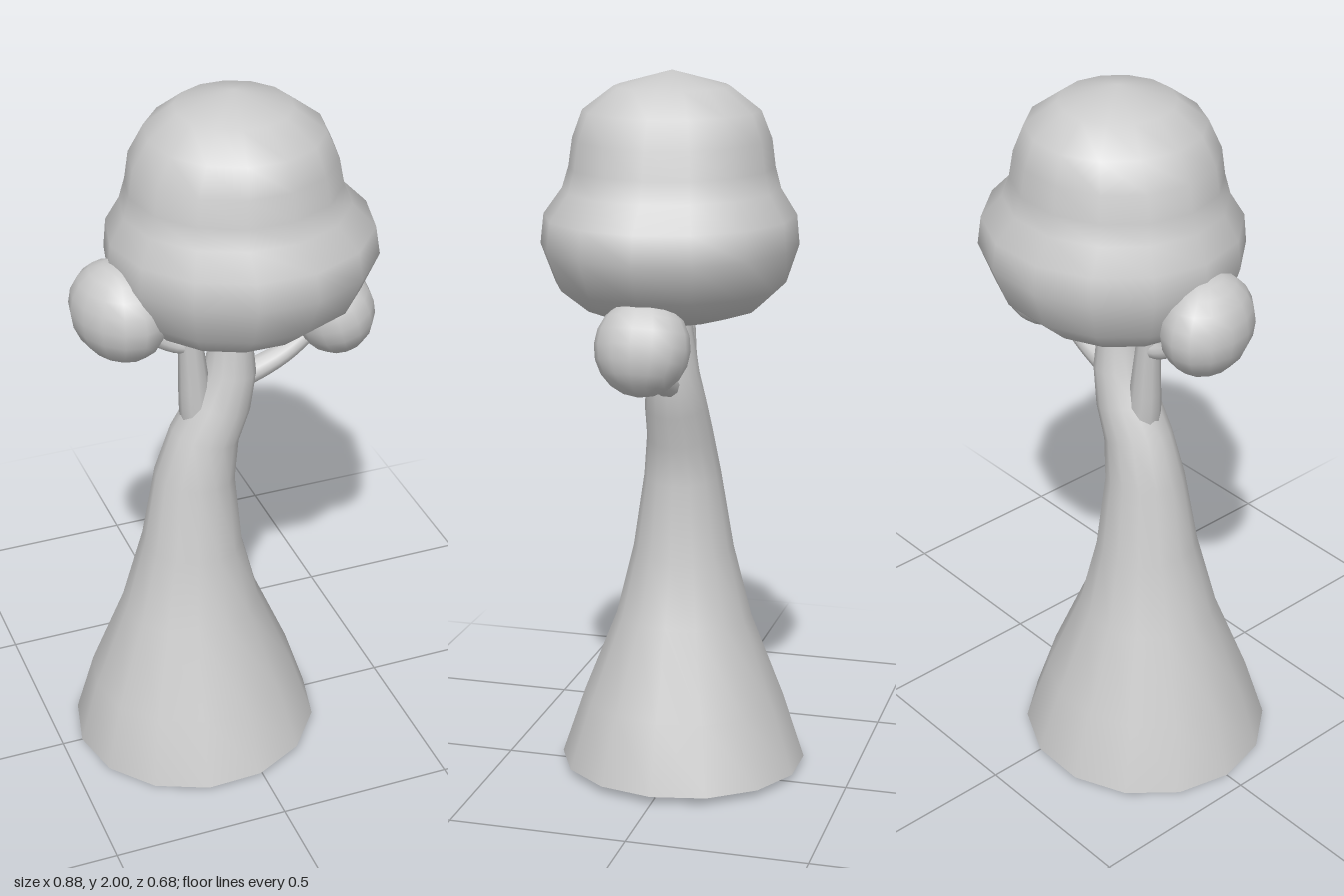
import * as THREE from 'three';

const SIDES = 14;

// Skin over elliptical rings listed bottom to top: [x, y, rx, rz, tilt]; rx = 0 closes to a point
function loft(rings, material, name) {
  const pos = [], index = [];
  for (const [x, y, rx, rz, tilt = 0] of rings) {
    for (let j = 0; j < SIDES; j++) {
      const a = (j / SIDES) * Math.PI * 2;
      const u = rx * Math.cos(a);
      pos.push(x + u * Math.cos(tilt), y + u * Math.sin(tilt), rz * Math.sin(a));
    }
  }
  const id = (r, j) => r * SIDES + (rings[r][2] === 0 ? 0 : j % SIDES);
  for (let r = 0; r < rings.length - 1; r++) {
    for (let j = 0; j < SIDES; j++) {
      if (rings[r + 1][2] > 0) index.push(id(r, j), id(r + 1, j), id(r + 1, j + 1));
      if (rings[r][2] > 0) index.push(id(r, j), id(r + 1, j + 1), id(r, j + 1));
    }
  }
  const geo = new THREE.BufferGeometry();
  geo.setAttribute('position', new THREE.Float32BufferAttribute(pos, 3));
  geo.setIndex(index);
  geo.computeVertexNormals();
  const mesh = new THREE.Mesh(geo, material);
  mesh.name = name;
  return mesh;
}

// Tapered limb along a smooth path of [x, y, z] points
function limb(points, r0, r1, material, name) {
  const curve = new THREE.CatmullRomCurve3(points.map(p => new THREE.Vector3(...p)));
  const steps = 10, sides = 10;
  const geo = new THREE.TubeGeometry(curve, steps, 1, sides, false);
  const p = geo.attributes.position, v = new THREE.Vector3();
  for (let i = 0; i < p.count; i++) {
    const t = Math.floor(i / (sides + 1)) / steps;
    const c = curve.getPointAt(t);
    v.fromBufferAttribute(p, i).sub(c).multiplyScalar(r0 + (r1 - r0) * t).add(c);
    p.setXYZ(i, v.x, v.y, v.z);
  }
  const mesh = new THREE.Mesh(geo, material);
  mesh.name = name;
  return mesh;
}

// Small rounded clump of leaves
function clump(center, radii, yaw, roll, material, name) {
  const mesh = new THREE.Mesh(new THREE.SphereGeometry(1, 14, 10), material);
  mesh.position.set(...center);
  mesh.scale.set(...radii);
  mesh.rotation.set(0, yaw, roll);
  mesh.name = name;
  return mesh;
}

export function createModel() {
  const group = new THREE.Group();
  group.name = 'tree';
  const bark = new THREE.MeshStandardMaterial({ color: 0xcccccc, side: THREE.DoubleSide });
  const leaf = new THREE.MeshStandardMaterial({ color: 0xcccccc });

  // Flared, leaning trunk, open underneath, running up into the canopy
  group.add(loft([
    [-0.09, 0.014, 0.352, 0.35, 0.035],
    [-0.095, 0.205, 0.295, 0.286, 0.035],
    [-0.098, 0.445, 0.197, 0.192, 0.04],
    [-0.092, 0.65, 0.142, 0.142, -0.05],
    [-0.083, 0.865, 0.114, 0.108, -0.1],
    [-0.053, 0.99, 0.098, 0.092, -0.25],
    [-0.01, 1.08, 0.088, 0.086, -0.25],
    [0.022, 1.18, 0.072, 0.073, -0.1],
    [0.027, 1.3, 0.054, 0.057],
    [0.027, 1.4, 0.048, 0.05],
  ], bark, 'trunk'));

  // Second stem and the two side branches
  group.add(limb([[-0.06, 0.97, 0], [-0.078, 1.09, 0], [-0.086, 1.2, 0], [-0.1, 1.4, 0]],
    0.055, 0.026, bark, 'secondStem'));
  group.add(limb([[0.05, 1.15, 0], [0.12, 1.172, 0], [0.19, 1.205, 0], [0.29, 1.28, 0]],
    0.037, 0.024, bark, 'leftBranch'));
  group.add(limb([[-0.09, 1.275, 0], [-0.14, 1.29, 0], [-0.2, 1.33, 0.005], [-0.27, 1.41, 0.01]],
    0.024, 0.018, bark, 'rightBranch'));

  // Main canopy: wide lower bulge with a dome above
  group.add(loft([
    [0.01, 1.32, 0, 0],
    [0.015, 1.335, 0.14, 0.13],
    [0.03, 1.37, 0.25, 0.24],
    [0.045, 1.435, 0.33, 0.31],
    [0.053, 1.54, 0.37, 0.346],
    [0.05, 1.62, 0.36, 0.338],
    [0.036, 1.688, 0.308, 0.292],
    [0.032, 1.745, 0.288, 0.276],
    [0.03, 1.82, 0.275, 0.266],
    [0.034, 1.895, 0.236, 0.238],
    [0.03, 1.958, 0.155, 0.155],
    [0.03, 2.0, 0, 0],
  ], leaf, 'canopy'));

  // Side clumps on the branch tips
  group.add(clump([0.32, 1.312, 0], [0.115, 0.13, 0.127], 0, 0.3, leaf, 'leftClump'));
  group.add(clump([-0.297, 1.437, 0.02], [0.118, 0.137, 0.155], 0.35, 0, leaf, 'rightClump'));

  return group;
}
